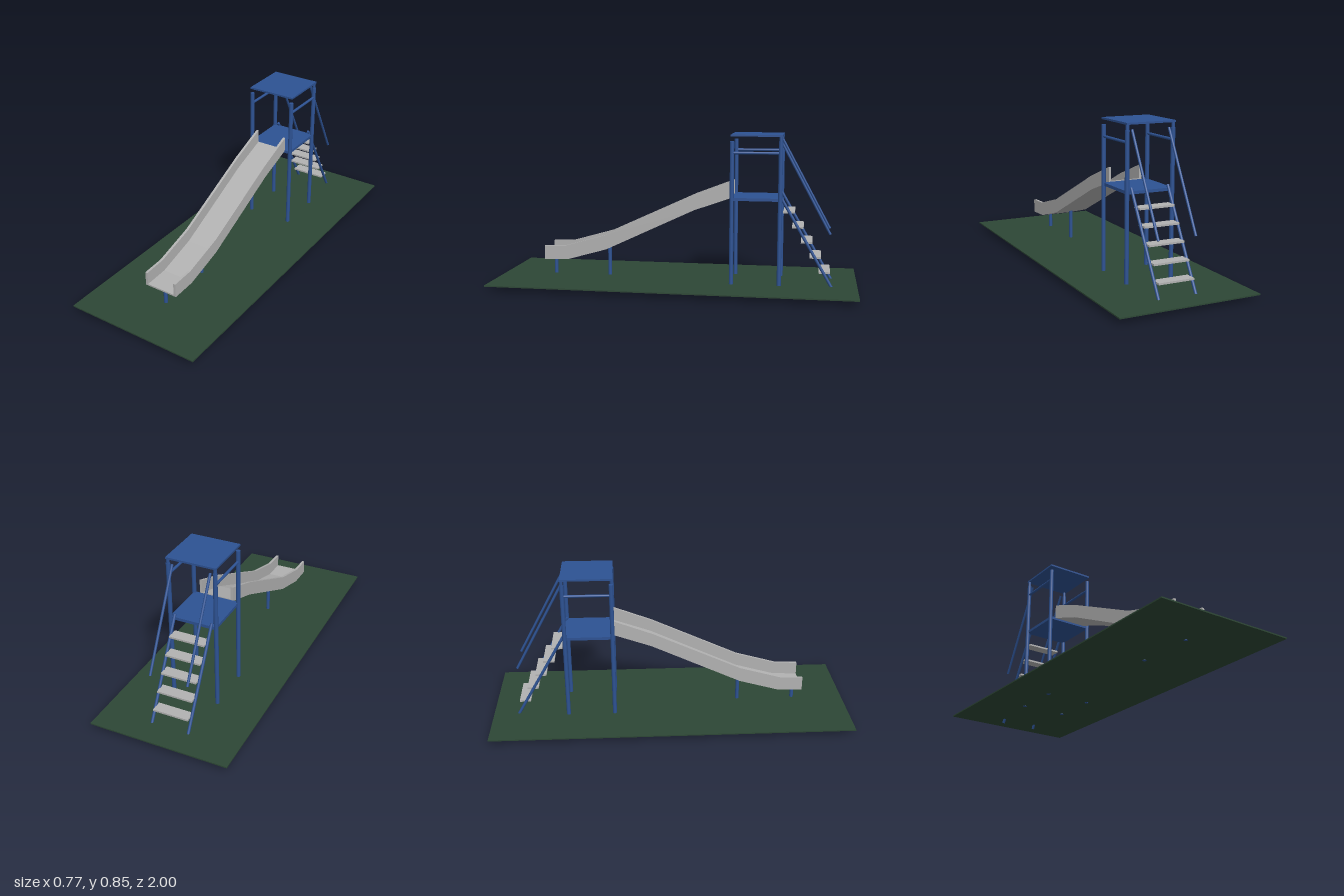
import * as THREE from 'three';

export function createModel() {
  const model = new THREE.Group();
  model.name = 'playgroundSlide';
  const mat = (name, color) => Object.assign(new THREE.MeshStandardMaterial({ color }), { name });
  const blue = mat('blue paint', 0x2d5293);
  const grey = mat('grey metal', 0xb2b2b2);
  const green = mat('green ground', 0x2d4735);

  const add = (name, geo, material) => {
    const mesh = new THREE.Mesh(geo, material);
    mesh.name = name;
    model.add(mesh);
    return mesh;
  };
  // axis-aligned box given by its limits
  const box = (name, x0, x1, y0, y1, z0, z1, m) => add(name,
    new THREE.BoxGeometry(x1 - x0, y1 - y0, z1 - z0), m)
    .position.set((x0 + x1) / 2, (y0 + y1) / 2, (z0 + z1) / 2);
  // round bar between two points
  const bar = (name, a, b, r) => {
    const p = new THREE.Vector3(...a), q = new THREE.Vector3(...b);
    const mesh = add(name, new THREE.CylinderGeometry(r, r, p.distanceTo(q), 16), blue);
    mesh.position.copy(p).add(q).multiplyScalar(0.5);
    mesh.quaternion.setFromUnitVectors(new THREE.Vector3(0, 1, 0), q.sub(p).normalize());
  };

  // ground slab
  box('ground', -0.385, 0.385, 0.025, 0.032, -1, 1, green);

  // tower
  box('roof', -0.138, 0.138, 0.838, 0.848, -0.59, -0.312, blue);
  box('platform', -0.13, 0.13, 0.491, 0.507, -0.585, -0.315, blue);
  for (const s of [-1, 1]) {
    const x = 0.129 * s;
    bar('frontPost', [x, 0.024, -0.32], [x, 0.812, -0.32], 0.0115);
    bar('backPost', [x, 0.024, -0.58], [x, 0.812, -0.58], 0.0115);
    bar('roofSupport', [x, 0.81, -0.58], [x, 0.84, -0.58], 0.009);
    bar('guardRail', [x, 0.75, -0.32], [x, 0.75, -0.58], 0.0075);
    // ladder sides and handrails
    const lx = 0.104 * s;
    bar('ladderSide', [lx, 0.522, -0.578], [lx, 0.004, -0.875], 0.008);
    bar('handrail', [lx, 0.812, -0.582], [lx, 0.317, -0.85], 0.007);
  }

  // ladder steps
  for (let i = 0; i < 5; i++) {
    const y = 0.43 - i * 0.0813, z = -0.627 - i * 0.0487;
    box('step', -0.099, 0.099, y - 0.005, y + 0.005, z - 0.031, z + 0.031, grey);
  }

  // slide trough: [z, y] outlines extruded across the width
  const bottom = [[0.747, 0.128], [0.61, 0.133], [0.388, 0.196], [-0.108, 0.429], [-0.317, 0.503]];
  const wallTop = [[0.747, 0.207], [0.62, 0.212], [0.388, 0.278], [-0.1, 0.503], [-0.317, 0.586]];
  const floorTop = bottom.map(([z, y]) => [z, y + 0.009]);
  const trough = (name, top, x0, x1) => {
    const pts = [...bottom, ...[...top].reverse()].map(([z, y]) => new THREE.Vector2(-z, y));
    const geo = new THREE.ExtrudeGeometry(new THREE.Shape(pts), { depth: x1 - x0, bevelEnabled: false });
    geo.rotateY(Math.PI / 2).translate(x0, 0, 0);
    add(name, geo, grey);
  };
  trough('slideFloor', floorTop, -0.083, 0.083);
  trough('slideWallLeft', wallTop, 0.083, 0.097);
  trough('slideWallRight', wallTop, -0.097, -0.083);

  // slide legs
  bar('slideLegFront', [0, 0.024, 0.71], [0, 0.13, 0.71], 0.0105);
  bar('slideLegMiddle', [0, 0.024, 0.39], [0, 0.2, 0.39], 0.0105);

  return model;
}
